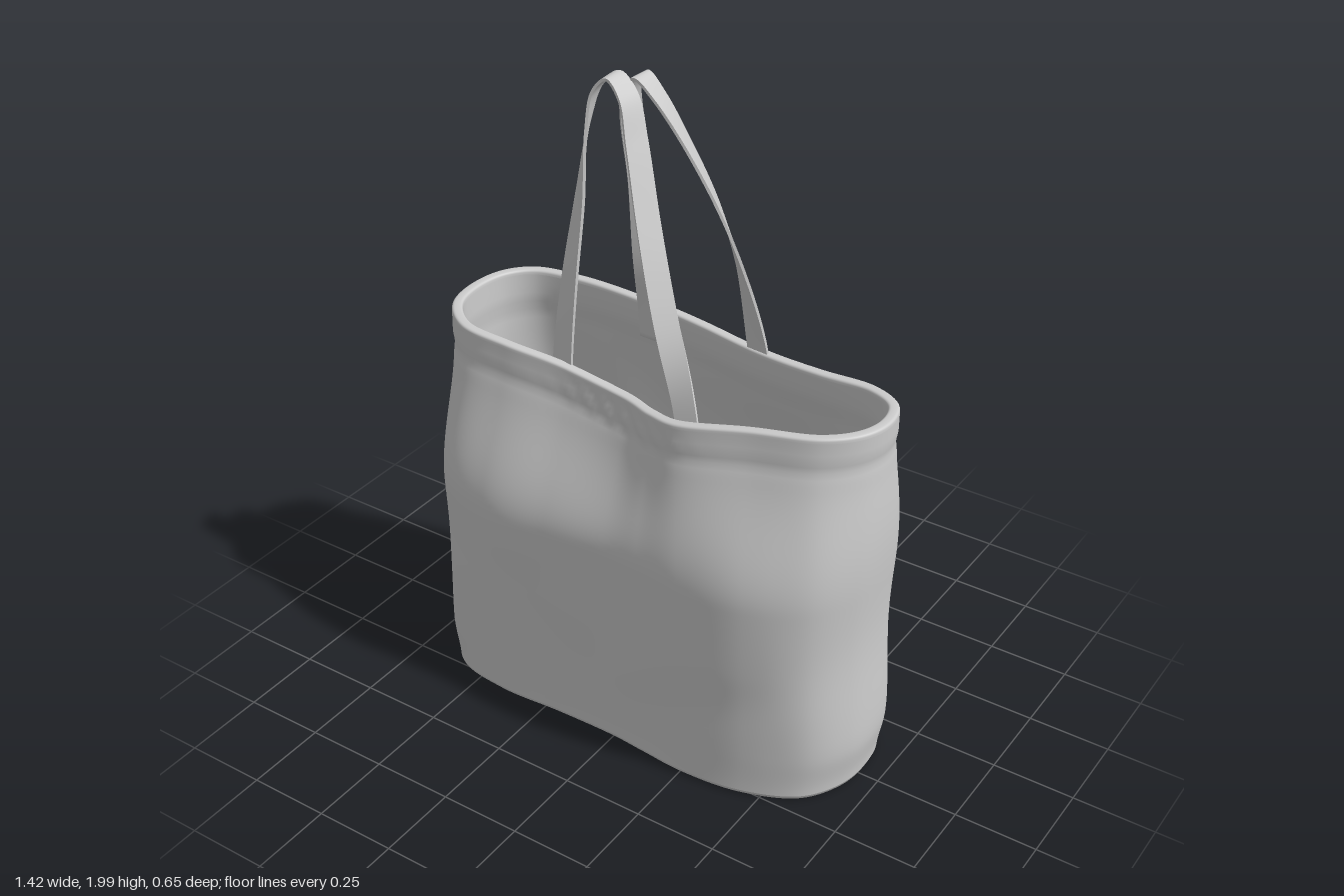
import * as THREE from 'three';

const material = new THREE.MeshStandardMaterial({ color: 0xcccccc, side: THREE.DoubleSide });
const COLS = 300;
const smooth = THREE.MathUtils.smoothstep;
const bump = (v, centre, width) => Math.exp(-(((v - centre) / width) ** 2));

// Matching plan outlines [x, z], from the left end round the back, right end and front
const BODY = [[-.703, -.01], [-.687, -.15], [-.61, -.268], [-.44, -.316], [-.17, -.318], [0, -.318], [.2, -.31],
  [.42, -.295], [.59, -.242], [.685, -.14], [.705, -.03], [.688, .09], [.615, .21], [.45, .29], [.26, .312],
  [.12, .302], [0, .292], [-.2, .293], [-.42, .302], [-.6, .262], [-.685, .13]];
const RIM = [[-.69, -.01], [-.668, -.135], [-.595, -.212], [-.44, -.243], [-.17, -.24], [0, -.227], [.2, -.2],
  [.4, -.187], [.57, -.18], [.668, -.125], [.695, -.03], [.668, .065], [.585, .145], [.4, .2], [.2, .247],
  [.1, .225], [0, .19], [-.2, .177], [-.4, .197], [-.56, .186], [-.662, .1]];

// Soft dents and swellings in the cloth: side (+1 front), x, y, length, width, tilt, depth
const FOLDS = [[1, -.05, .74, .25, .1, .4, .005], [1, .35, .3, .25, .1, .5, -.008], [1, -.3, .38, .3, .12, -.7, -.006],
  [1, .1, .5, .3, .1, .9, -.004], [1, -.45, .85, .25, .12, 1.3, -.006], [1, .45, .85, .22, .15, 1, .006],
  [-1, -.22, .68, .3, .07, -1, -.016], [-1, .25, .72, .3, .09, .8, -.008], [-1, 0, .4, .4, .09, .1, -.006],
  [-1, -.35, .85, .2, .1, .9, .005]];

function cloth(x, y, z) {
  let d = 0;
  for (const [side, fx, fy, len, wid, tilt, depth] of FOLDS) {
    const c = Math.cos(tilt), s = Math.sin(tilt), dx = x - fx, dy = y - fy;
    d += depth * bump(dx * c + dy * s, 0, len) * bump(dy * c - dx * s, 0, wid) * smooth(z * side, .05, .2);
  }
  // Gathered creases below the front hem
  d += .004 * Math.sin((x + (y - 1.12) * .9) * 95) * bump(x, -.01, .17) * bump(y, 1.13, .028) * smooth(z, .05, .15);
  // Waviness of the two ends
  d += .007 * Math.sin(y * 9 + (x > 0 ? .2 : 1)) * smooth(Math.abs(x), .52, .7) * smooth(y, 0, .2) * (1 - smooth(y, .95, 1.2));
  return d;
}

// One closed ring of the bag at height t, moved outwards by offset
function ring(t, offset, shrink = 1, lift = 0) {
  const k = smooth(t, .68, 1.2);
  const xScale = .98 + .02 * smooth(t, 0, .15);
  const frontScale = .93 + .07 * smooth(t, 0, .45) + .045 * bump(t, .72, .25);
  const backScale = .965 + .035 * smooth(t, 0, .4);
  const curve = new THREE.CatmullRomCurve3(BODY.map(([bx, bz], i) => {
    const x = THREE.MathUtils.lerp(bx, RIM[i][0], k) * xScale;
    const z = THREE.MathUtils.lerp(bz * (bz > 0 ? frontScale : backScale), RIM[i][1], k);
    return new THREE.Vector3(x + .022 * bump(t, .65, .3) * smooth(-x, .4, .7), 0, z);
  }), true);
  return Array.from({ length: COLS }, (_, j) => {
    const p = curve.getPoint(j / COLS), g = curve.getTangent(j / COLS);
    const d = offset + cloth(p.x, t, p.z);
    const front = smooth(p.z, -.08, .14);
    const dip = front * .05 * bump(p.x, .02, .33) + (1 - front) * .02 * bump(p.x, .25, .35);
    const y = t - dip * smooth(t, .6, 1.15) + lift;
    return [(p.x + g.z * d) * shrink, y, (p.z - g.x * d) * shrink];
  });
}

// Skin joining successive closed rings
function loft(rings) {
  const n = rings[0].length, index = [];
  for (let i = 0; i < rings.length - 1; i++) {
    for (let j = 0; j < n; j++) {
      const a = i * n + j, b = i * n + (j + 1) % n;
      index.push(a, a + n, b, b, a + n, b + n);
    }
  }
  const geometry = new THREE.BufferGeometry();
  geometry.setAttribute('position', new THREE.Float32BufferAttribute(rings.flat(2), 3));
  geometry.setIndex(index);
  geometry.computeVertexNormals();
  return geometry;
}

function addMesh(parent, name, geometry) {
  const mesh = new THREE.Mesh(geometry, material);
  mesh.name = name;
  parent.add(mesh);
}

// Flat ribbon: each station is [x, y, z, width direction x, width direction z]
function strap(stations) {
  const path = new THREE.CatmullRomCurve3(stations.map(([x, y, z]) => new THREE.Vector3(x, y, z)));
  const widths = new THREE.CatmullRomCurve3(stations.map((s) => new THREE.Vector3(s[3], 0, s[4])));
  const half = .034, thick = .004, steps = 90, corners = [[-1, -1], [1, -1], [1, 1], [-1, 1]];
  const rings = [];
  for (let i = 0; i <= steps; i++) {
    const p = path.getPoint(i / steps), t = path.getTangent(i / steps), w = widths.getPoint(i / steps);
    w.addScaledVector(t, -w.dot(t)).normalize();
    const n = new THREE.Vector3().crossVectors(w, t);
    rings.push(corners.map(([a, b]) =>
      p.clone().addScaledVector(w, a * half).addScaledVector(n, b * thick).toArray()));
  }
  // Closed ends
  const centre = (r) => r.map(() => [0, 1, 2].map((k) => r.reduce((s, q) => s + q[k] / 4, 0)));
  const geometry = loft([centre(rings[0]), ...rings, centre(rings[steps])]).toNonIndexed();
  geometry.computeVertexNormals();
  // Smooth each of the four sides along its length, keeping the long edges crisp
  const pos = geometry.attributes.position, normal = geometry.attributes.normal;
  const sums = new Map(), v = new THREE.Vector3();
  const key = (i) => `${Math.floor(i / 6) % 4}:${v.fromBufferAttribute(pos, i).toArray().map((c) => c.toFixed(5))}`;
  for (let i = 0; i < pos.count; i++) {
    const k = key(i);
    if (!sums.has(k)) sums.set(k, new THREE.Vector3());
    sums.get(k).add(v.fromBufferAttribute(normal, i));
  }
  for (let i = 0; i < pos.count; i++) {
    const sum = sums.get(key(i)).clone().normalize();
    normal.setXYZ(i, sum.x, sum.y, sum.z);
  }
  return geometry;
}

export function createModel() {
  const group = new THREE.Group();
  group.name = 'toteBag';

  // Outer cloth with a stitched groove below the hem
  const outer = [];
  for (let i = 0; i <= 64; i++) {
    const t = .015 + 1.17 * i / 64;
    outer.push(ring(t, .003 * smooth(t, 1.1, 1.13) - .003 * bump(t, 1.095, .018)));
  }
  addMesh(group, 'outerCloth', loft(outer));

  // Flat-topped rim with rounded edges
  const rim = [];
  for (let i = 0; i <= 12; i++) {
    const a = Math.PI * i / 12, c = Math.cos(a);
    rim.push(ring(1.185, -.013 + .016 * Math.sign(c) * Math.abs(c) ** .6, 1, .014 * Math.sin(a) ** .6));
  }
  addMesh(group, 'rim', loft(rim));

  // Lining running into the floor with a soft corner
  const lining = [];
  for (let i = 0; i <= 36; i++) {
    const t = 1.185 - 1.105 * i / 36;
    lining.push(ring(t, -.029 + .008 * smooth(1.1 - t, 0, .03)));
  }
  lining.push(ring(.05, -.03), ring(.035, -.05), ring(.03, -.02, .8), ring(.03, 0, .4), ring(.03, 0, 0));
  addMesh(group, 'lining', loft(lining));

  // Base panel with a small tucked edge
  addMesh(group, 'base', loft([ring(0, 0, 0), ring(0, -.012), ring(.004, -.004), ring(.015, 0)]));

  // Two twisted straps, flat against the wall at the feet and leaning together on top
  addMesh(group, 'frontStrap', strap([
    [-.235, 1.08, .155, 1, .05], [-.232, 1.2, .148, 1, .15], [-.218, 1.42, .128, .9, .35], [-.205, 1.65, .09, .75, .6],
    [-.2, 1.85, .055, .45, .9], [-.18, 1.95, .038, .2, 1], [-.135, 1.99, .03, 0, 1], [-.085, 1.945, .035, -.2, 1],
    [-.045, 1.83, .055, -.4, .9], [.02, 1.62, .095, -.55, .8], [.1, 1.4, .14, -.75, .6], [.19, 1.2, .188, -.98, .1],
    [.225, 1.08, .208, -1, .05]]));
  addMesh(group, 'backStrap', strap([
    [-.185, 1.08, -.212, -1, .02], [-.178, 1.2, -.192, -1, .12], [-.165, 1.42, -.15, -.75, .5],
    [-.142, 1.65, -.1, -.7, .7], [-.14, 1.85, -.06, -.45, .9], [-.125, 1.94, -.04, -.2, 1], [-.09, 1.98, -.033, 0, 1],
    [-.035, 1.93, -.037, .2, 1], [.03, 1.82, -.058, .4, .9], [.11, 1.64, -.095, .55, .8], [.165, 1.44, -.135, .75, .6],
    [.195, 1.2, -.178, .98, .1], [.2, 1.08, -.196, 1, .02]]));

  return group;
}
